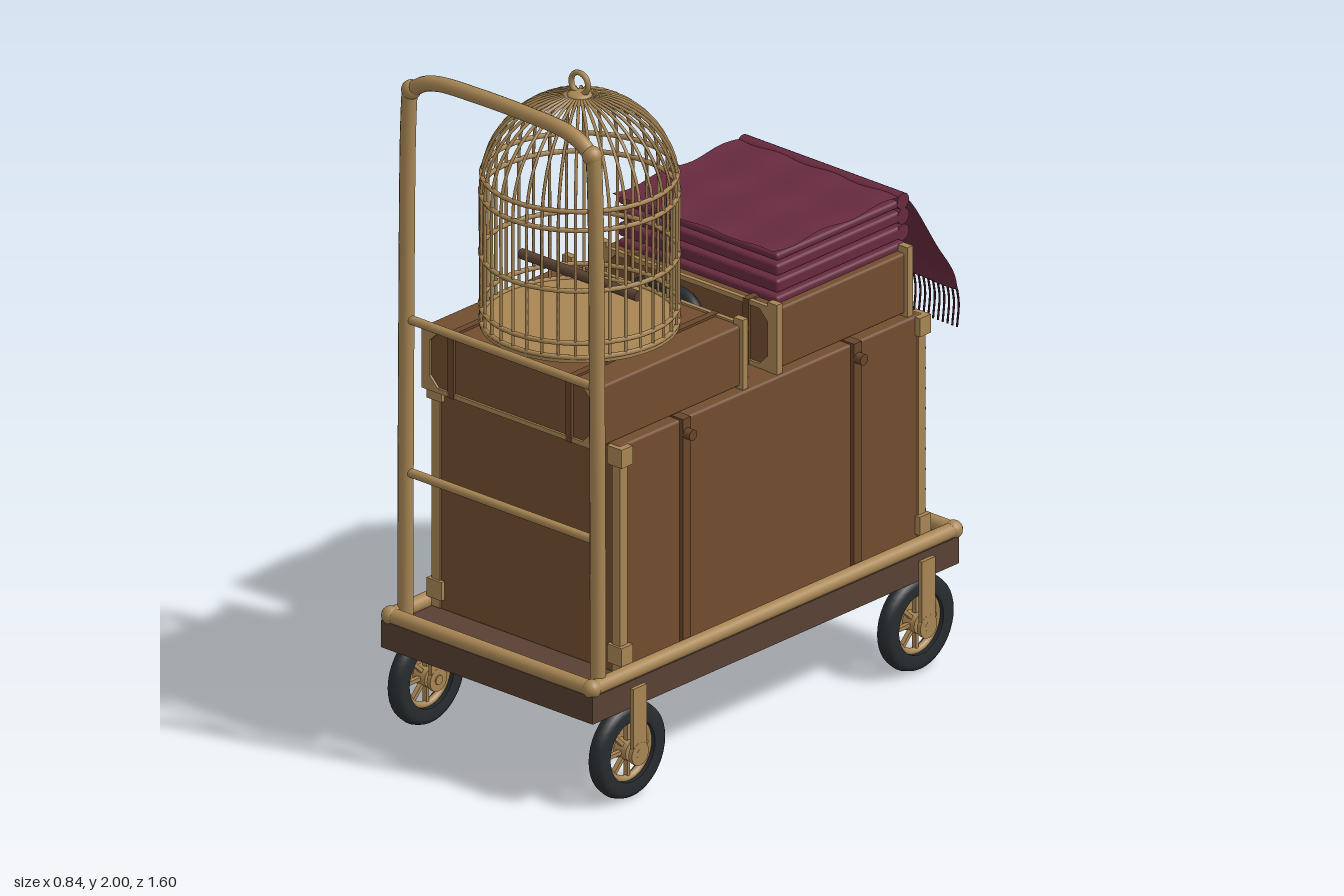
import * as THREE from 'three';
import { RoundedBoxGeometry } from 'three/addons/geometries/RoundedBoxGeometry.js';

const mat = (color, side = THREE.FrontSide) => new THREE.MeshStandardMaterial({ color, side });
const BRASS = mat(0xa88654), LEATHER = mat(0x724d2f), STRAP = mat(0x68462b), WOOD = mat(0x594133);
const RUBBER = mat(0x282c2f), CLOTH = mat(0x672a3f, THREE.DoubleSide), FRINGE = mat(0x3c1824);
const V = (x, y, z) => new THREE.Vector3(x, y, z);

function add(parent, name, geo, material, x = 0, y = 0, z = 0) {
  const m = new THREE.Mesh(geo, material);
  m.name = name;
  m.position.set(x, y, z);
  parent.add(m);
  return m;
}
function group(parent, name, x = 0, y = 0, z = 0) {
  const g = new THREE.Group();
  g.name = name;
  g.position.set(x, y, z);
  parent.add(g);
  return g;
}
const box = (w, h, d) => new THREE.BoxGeometry(w, h, d);
const cylX = (r, len, n = 16) => new THREE.CylinderGeometry(r, r, len, n).rotateZ(Math.PI / 2);
const cylZ = (r, len, n = 16) => new THREE.CylinderGeometry(r, r, len, n).rotateX(Math.PI / 2);
const tube = (pts, r, seg = 24, sides = 8) =>
  new THREE.TubeGeometry(new THREE.CatmullRomCurve3(pts), seg, r, sides);

// Arched carrying grip, from its low ends to its raised middle
function grip(parent, y0, z0, y1, z1, half) {
  const pts = [[-1, 0], [-0.92, 0.6], [-0.6, 1], [0, 1.1], [0.6, 1], [0.92, 0.6], [1, 0]]
    .map(([u, t]) => V(u * half, y0 + (y1 - y0) * t, z0 + (z1 - z0) * t));
  const g = group(parent, 'handle');
  add(g, 'handleGrip', tube(pts, 0.02, 40, 10), RUBBER);
  for (const p of [pts[0], pts[6]]) add(g, 'handleEnd', new THREE.SphereGeometry(0.02, 12, 8), RUBBER, p.x, p.y, p.z);
}

// Brass border with cut corners for a case end
function frame(w, h, border, cut) {
  const s = new THREE.Shape();
  const a = w / 2, b = h / 2;
  s.moveTo(-a, -b).lineTo(a, -b).lineTo(a, b).lineTo(-a, b).closePath();
  const c = a - border, d = b - 0.014, p = new THREE.Path();
  p.moveTo(-c + cut, -d).lineTo(-c, -d + cut).lineTo(-c, d - cut).lineTo(-c + cut, d)
    .lineTo(c - cut, d).lineTo(c, d - cut).lineTo(c, -d + cut).lineTo(c - cut, -d).closePath();
  s.holes.push(p);
  return new THREE.ExtrudeGeometry(s, { depth: 0.014, bevelEnabled: false });
}

function smallCase(parent, name, zc, depth) {
  const g = group(parent, name, 0, 1.127, zc);
  const w = 0.64, h = 0.18;
  add(g, 'caseBody', new RoundedBoxGeometry(w, h, depth, 2, 0.008), LEATHER);
  for (const s of [-1, 1]) {
    add(g, 'caseFrame', frame(w + 0.012, h + 0.012, 0.03, 0.03), BRASS, 0, 0, s * depth / 2 - 0.007);
    add(g, 'caseStrap', box(0.022, h + 0.014, depth + 0.018), STRAP, s * 0.217, 0, 0);
    // Corner posts and bolts on the handle end
    add(g, 'casePost', box(0.035, 0.21, 0.022), BRASS, s * 0.315, 0.005, -depth / 2);
    for (const y of [-0.07, 0.075])
      add(g, 'caseBolt', cylZ(0.011, 0.03, 10), BRASS, s * 0.315, y, -depth / 2 - 0.005);
  }
  grip(g, 0.005, -depth / 2 - 0.012, 0.082, -depth / 2 - 0.045, 0.135);
  return g;
}

function wheel(parent, side, z) {
  const g = group(parent, 'wheel', side * 0.37, 0.14, z);
  const prof = [[0.09, -0.022], [0.12, -0.025], [0.135, -0.018], [0.14, 0], [0.135, 0.018], [0.12, 0.025], [0.09, 0.022], [0.09, -0.022]]
    .map(([r, y]) => new THREE.Vector2(r, y));
  add(g, 'tyre', new THREE.LatheGeometry(prof, 40).rotateZ(Math.PI / 2), RUBBER);
  add(g, 'rim', new THREE.TorusGeometry(0.085, 0.011, 8, 36).rotateY(Math.PI / 2), BRASS);
  for (let i = 0; i < 8; i++) {
    const spoke = box(0.014, 0.07, 0.011).translate(0, 0.05, 0).rotateX(i * Math.PI / 4);
    add(g, 'spoke', spoke, BRASS);
  }
  add(g, 'hub', cylX(0.03, 0.045), BRASS);
  add(g, 'axle', cylX(0.014, 0.1), BRASS);
  // Fork: two cheeks with rounded lower ends
  for (const [x, top] of [[0.043, 0.2], [-0.04, 0.14]]) {
    add(g, 'forkCheek', box(0.012, top, 0.055), BRASS, side * x, top / 2, 0);
    add(g, 'forkEnd', cylX(0.034, 0.013, 20), BRASS, side * x, 0, 0);
  }
}

function birdcage(parent) {
  const g = group(parent, 'birdcage', 0, 1.235, 0.415);
  const R = 0.27, H = 0.4;
  add(g, 'cageFloor', new THREE.CylinderGeometry(R + 0.004, R + 0.004, 0.014, 48), BRASS);
  for (const y of [0.008, 0.05, 0.205, 0.385, 0.44])
    add(g, 'cageRing', new THREE.TorusGeometry(y > 0.43 ? R * 0.99 : R, 0.007, 6, 48).rotateX(Math.PI / 2), BRASS, 0, y, 0);
  // Bars rise straight, then bend in to the crown
  const path = [V(R, 0, 0), V(R, H / 2, 0)];
  for (let i = 0; i <= 8; i++) {
    const a = i / 8 * Math.PI * 0.48;
    path.push(V(R * Math.cos(a), H + R * Math.sin(a), 0));
  }
  const bar = tube(path, 0.0048, 24, 5);
  for (let i = 0; i < 36; i++) add(g, 'cageBar', bar, BRASS).rotation.y = i * Math.PI / 18;
  add(g, 'cageCrown', new THREE.SphereGeometry(0.036, 20, 8).scale(1, 0.35, 1), BRASS, 0, H + R, 0);
  add(g, 'hangingRing', new THREE.TorusGeometry(0.031, 0.008, 8, 24), BRASS, 0, 0.705, 0);
  add(g, 'perch', cylX(0.015, 0.43), WOOD, 0, 0.135, 0);
}

function blanket(parent) {
  const g = group(parent, 'foldedBlanket');
  const W = 0.59;
  for (const [y, h] of [[1.217, 0.038], [1.265, 0.04], [1.313, 0.036], [1.352, 0.024]])
    add(g, 'blanketLayer', new RoundedBoxGeometry(W, h, 0.52, 2, 0.01), CLOTH, 0, y, -0.32);
  for (const y of [1.265, 1.313, 1.357]) add(g, 'blanketFold', cylX(0.024, W, 14), CLOTH, 0, y, -0.568);
  // Rippled top sheet that hangs over the back
  const cover = new THREE.PlaneGeometry(W, 1, 24, 48);
  const drape = new THREE.CatmullRomCurve3([V(0, 1.375, -0.57), V(0, 1.33, -0.61), V(0, 1.18, -0.705), V(0, 1.08, -0.772), V(0, 1.02, -0.79)]);
  const pos = cover.attributes.position;
  for (let i = 0; i < pos.count; i++) {
    const x = pos.getX(i), t = 0.5 - pos.getY(i);
    if (t < 0.55) {
      const z = -0.04 - t / 0.55 * 0.53;
      pos.setXYZ(i, x, 1.374 + 0.006 * Math.cos(z * 26) + 0.003 * Math.sin(x * 32), z);
    } else {
      const p = drape.getPoint((t - 0.55) / 0.45);
      pos.setXYZ(i, x, p.y, p.z + 0.003 * Math.sin(x * 32));
    }
  }
  cover.computeVertexNormals();
  add(g, 'blanketCover', cover, CLOTH);
  const strand = tube([V(0, 1.025, -0.789), V(0, 0.98, -0.797), V(0, 0.91, -0.79)], 0.0032, 6, 5);
  for (let i = 0; i < 34; i++) add(g, 'fringeStrand', strand, FRINGE, -W / 2 + 0.004 + i * (W - 0.008) / 33, 0, 0);
}

function trunk(parent) {
  const g = group(parent, 'trunk');
  const zc = 0.015, hw = 0.342, hd = 0.612;
  add(g, 'trunkBody', new RoundedBoxGeometry(hw * 2, 0.68, hd * 2, 2, 0.008), LEATHER, 0, 0.69, zc);
  for (const z of [0.37, -0.32]) {
    add(g, 'trunkStrap', box(hw * 2 + 0.025, 0.69, 0.032), STRAP, 0, 0.69, z);
    for (const s of [-1, 1]) add(g, 'strapStud', cylX(0.016, 0.035), STRAP, s * 0.36, 0.99, z);
  }
  for (const sx of [-1, 1]) for (const sz of [-1, 1]) {
    const x = sx * 0.332, z = zc + sz * 0.602;
    add(g, 'trunkEdge', box(0.03, 0.67, 0.03), BRASS, x, 0.69, z);
    for (const y of [0.41, 1.0]) add(g, 'trunkCorner', box(0.055, 0.055, 0.045), BRASS, x, y, z);
    if (sz < 0) for (let i = 0; i < 10; i++)
      add(g, 'edgeStud', new THREE.SphereGeometry(0.01, 8, 6), BRASS, x, 0.44 + i * 0.06, z - 0.018);
  }
  // Locks and handle on the back end
  for (const s of [-1, 1]) {
    add(g, 'lockPlate', box(0.07, 0.1, 0.02), BRASS, s * 0.15, 0.87, -0.605);
    add(g, 'lockKnob', cylZ(0.014, 0.03), RUBBER, s * 0.15, 0.865, -0.61);
  }
  grip(g, 0.72, -0.645, 0.783, -0.707, 0.135);
}

function cart(parent) {
  const g = group(parent, 'cart');
  add(g, 'platform', box(0.78, 0.08, 1.48), WOOD, 0, 0.31, 0.05);
  // Brass bumper around the deck
  for (const s of [-1, 1]) {
    add(g, 'sideRail', cylZ(0.022, 1.46), BRASS, s * 0.37, 0.365, 0.042);
    add(g, 'endRail', cylX(0.022, 0.74), BRASS, 0, 0.365, s < 0 ? -0.688 : 0.772);
    for (const z of [-0.688, 0.772]) add(g, 'railCorner', new THREE.SphereGeometry(0.027, 14, 10), BRASS, s * 0.37, 0.365, z);
    for (const z of [0.63, -0.535]) wheel(g, s, z);
  }
  // Push handle: leaning posts, elbows, arched top and cross bars
  const z = 0.73;
  for (const s of [-1, 1]) {
    add(g, 'handlePost', tube([V(s * 0.355, 0.35, z), V(s * 0.352, 1.1, z), V(s * 0.345, 1.8, z), V(s * 0.339, 1.92, z)], 0.022, 24, 14), BRASS);
    add(g, 'handleElbow', new THREE.SphereGeometry(0.028, 16, 12), BRASS, s * 0.333, 1.925, z);
  }
  const arch = [[-0.33, 1.925], [-0.29, 1.953], [-0.23, 1.971], [-0.1, 1.978], [0.1, 1.978], [0.23, 1.971], [0.29, 1.953], [0.33, 1.925]];
  add(g, 'handleTop', tube(arch.map(([x, y]) => V(x, y, z)), 0.022, 48, 14), BRASS);
  for (const y of [0.785, 1.24]) add(g, 'handleCrossbar', cylX(0.013, 0.7), BRASS, 0, y, z);
}

export function createModel() {
  const model = new THREE.Group();
  model.name = 'luggageCart';
  cart(model);
  trunk(model);
  smallCase(model, 'frontCase', 0.4, 0.58);
  smallCase(model, 'rearCase', -0.29, 0.53);
  // The rear case also has posts on its inner end
  for (const s of [-1, 1]) add(model, 'innerPost', box(0.035, 0.21, 0.022), BRASS, s * 0.315, 1.132, -0.028);
  birdcage(model);
  blanket(model);
  return model;
}
